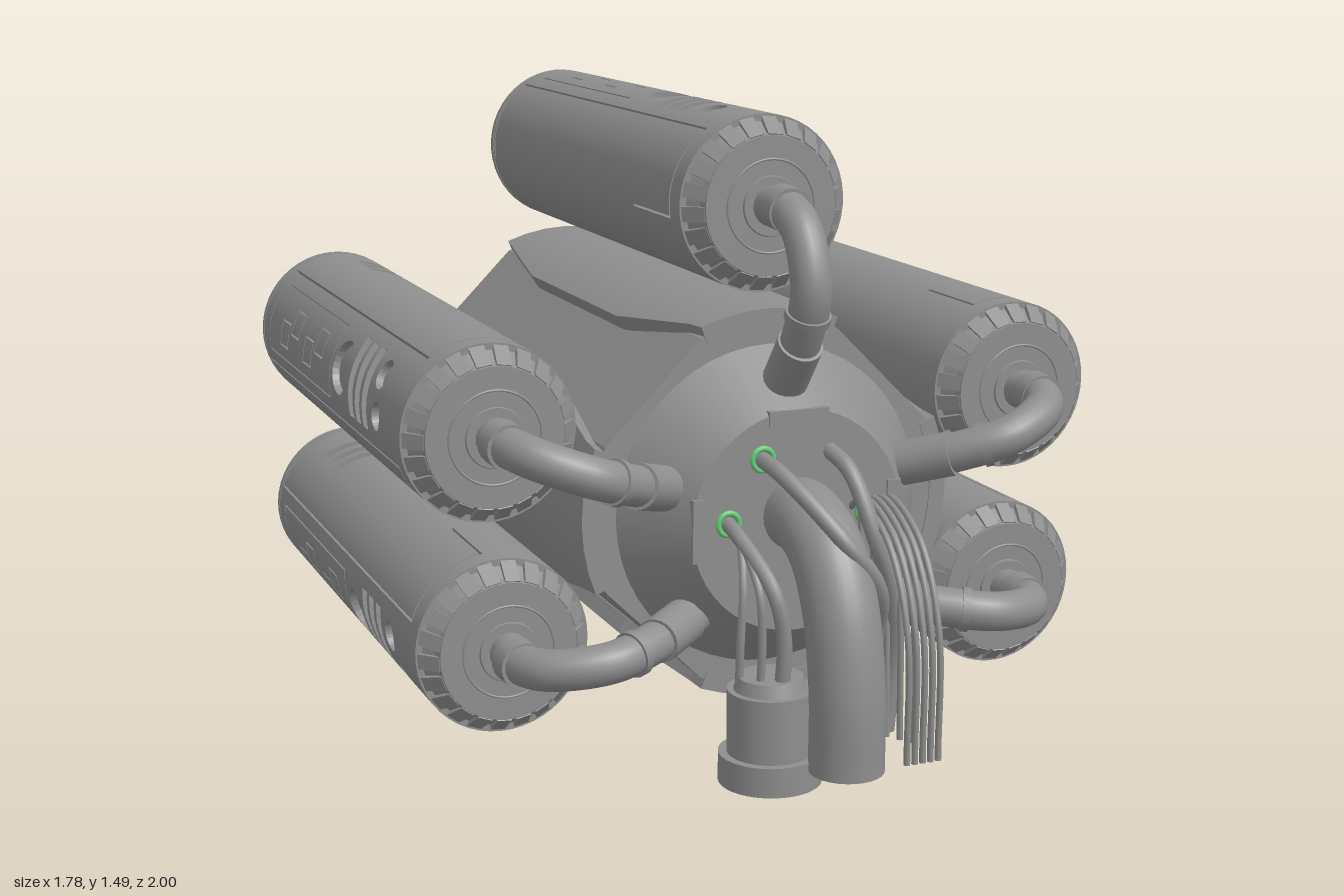
import * as THREE from 'three';

const grey = new THREE.MeshStandardMaterial({ color: 0x8e8e8e, side: THREE.DoubleSide });
const green = new THREE.MeshStandardMaterial({ color: 0x66cc77 });
const DEG = Math.PI / 180, CY = 0.565, R = 0.21;
const V = (x, y, z) => new THREE.Vector3(x, y, z);

function add(parent, name, geo, x = 0, y = 0, z = 0, mat = grey) {
  const m = new THREE.Mesh(geo, mat);
  m.name = name;
  m.position.set(x, y, z);
  parent.add(m);
  return m;
}
// cylinder or cone along z, from z0 (radius r0) to z1 (radius r1)
function zCyl(r0, r1, z0, z1) {
  return new THREE.CylinderGeometry(r1, r0, z1 - z0, 48).rotateX(Math.PI / 2).translate(0, 0, (z0 + z1) / 2);
}
function tube(pts, r, seg = 32, sides = 10) {
  return new THREE.TubeGeometry(new THREE.CatmullRomCurve3(pts), seg, r, sides);
}
const poly = (pts) => new THREE.Shape(pts.map(([x, y]) => new THREE.Vector2(x, y)));
const rect = (x0, y0, x1, y1) => poly([[x0, y0], [x1, y0], [x1, y1], [x0, y1]]);
const disc = (x, y, r) => new THREE.Shape().absarc(x, y, r, 0, Math.PI * 2);

// keep the part of a polygon on one side of x = c
function clip(p, c, sign) {
  const out = [];
  p.forEach((a, i) => {
    const b = p[(i + 1) % p.length], da = (a.x - c) * sign, db = (b.x - c) * sign;
    if (da >= 0) out.push(a);
    if (da * db < 0) out.push(a.clone().lerp(b, da / (da - db)));
  });
  return out;
}
// flat shapes (x = arc length, y = along the axis) made thick and rolled round the z axis
function roll(shapes, radius, depth) {
  const flat = new THREE.ExtrudeGeometry(shapes, { depth, bevelEnabled: false, curveSegments: 14 }).toNonIndexed();
  const P = flat.attributes.position, N = flat.attributes.normal, pos = [], nor = [];
  const step = 2 * Math.PI * radius / 48;
  for (let i = 0; i < P.count; i += 3) {
    const tri = [0, 1, 2].map(k => V(0, 0, 0).fromBufferAttribute(P, i + k));
    const n = V(0, 0, 0).fromBufferAttribute(N, i);
    const xs = tri.map(p => p.x);
    const k0 = Math.floor((Math.min(...xs) + 1e-9) / step);
    const k1 = Math.max(k0, Math.floor((Math.max(...xs) - 1e-9) / step));
    for (let k = k0; k <= k1; k++) {
      let q = tri;
      if (k > k0) q = clip(q, k * step, 1);
      if (k < k1) q = clip(q, (k + 1) * step, -1);
      for (let j = 1; j + 1 < q.length; j++) for (const p of [q[0], q[j], q[j + 1]]) {
        const a = p.x / radius, c = Math.cos(a), s = Math.sin(a), r = radius - depth + p.z;
        pos.push(r * c, r * s, p.y);
        nor.push(n.z * c - n.x * s, n.z * s + n.x * c, n.y);
      }
    }
  }
  const g = new THREE.BufferGeometry();
  g.setAttribute('position', new THREE.Float32BufferAttribute(pos, 3));
  g.setAttribute('normal', new THREE.Float32BufferAttribute(nor, 3));
  return g;
}

// pod skin with its cut-outs: portholes, slanted slots, panel, vents and bracket seams
function podSkin() {
  const half = Math.PI * R;
  const skin = rect(-half, -0.975, half, 0.43);
  skin.holes.push(disc(0, -0.135, 0.07), disc(0.05, 0.22, 0.034), disc(-0.05, 0.2, 0.038));
  for (const z of [-0.05, 0.015, 0.08])
    skin.holes.push(poly([[-0.1, z], [0.1, z + 0.02], [0.1, z + 0.062], [-0.1, z + 0.042]]));
  for (const z of [-0.825, -0.757, -0.69]) skin.holes.push(rect(-0.48, z, -0.29, z + 0.042));
  for (const s of [-1, 1])
    skin.holes.push(poly([[0.137, -0.966], [0.377, -0.966], [0.377, -0.96], [0.143, -0.96], [0.143, 0.364],
      [0.371, 0.364], [0.371, 0.13], [0.377, 0.13], [0.377, 0.37], [0.137, 0.37]].map(([x, y]) => [x * s, y])));
  skin.holes.push(rect(-0.098, -0.91, 0.098, -0.225));
  const panel = rect(-0.094, -0.906, 0.094, -0.229), plates = [];
  for (const [u, z] of [[-0.02, -0.36], [0.025, -0.47], [-0.02, -0.62], [0.025, -0.73]]) {
    panel.holes.push(rect(u - 0.036, z - 0.044, u + 0.036, z + 0.044));
    plates.push(rect(u - 0.031, z - 0.039, u + 0.031, z + 0.039));
  }
  return roll([skin, panel, ...plates], R, 0.018);
}

function makePod(skin) {
  const pod = new THREE.Group();
  add(pod, 'podSkin', skin);
  add(pod, 'podCore', zCyl(R - 0.018, R - 0.018, -0.99, 0.43));
  add(pod, 'podBackCap', zCyl(R, R, -1, -0.982));
  // chamfered, toothed front rim
  add(pod, 'podNose', zCyl(0.197, 0.162, 0.425, 0.475));
  const tooth = new THREE.BoxGeometry(0.02, 0.036, 0.062);
  for (let i = 0; i < 22; i++) {
    const a = i / 22 * Math.PI * 2;
    const t = add(pod, 'rimTooth', tooth, 0.179 * Math.cos(a), 0.179 * Math.sin(a), 0.447);
    t.rotation.set(0, 0, a);
    t.rotateY(-38 * DEG);
  }
  add(pod, 'rimRing', zCyl(0.172, 0.165, 0.46, 0.48));
  add(pod, 'hoseSocketRing', new THREE.TorusGeometry(0.11, 0.003, 6, 40), 0, 0, 0.48);
  add(pod, 'hoseSocket', zCyl(0.076, 0.07, 0.47, 0.485));
  return pod;
}

function makeHose(px, py, ex, ey) {
  const hose = new THREE.Group();
  const s = [0, 0, 0.1, 0.38, 0.65, 1], z = [0.46, 0.58, 0.655, 0.7, 0.655, 0.54];
  const curve = new THREE.CatmullRomCurve3(s.map((t, i) => V(px + (ex - px) * t, py + (ey - py) * t, z[i])));
  add(hose, 'hoseTube', new THREE.TubeGeometry(curve, 40, 0.048, 18));
  // collars along the hose
  for (const [t, len] of [[0.15, 0.06], [0.62, 0.02], [0.84, 0.13]]) {
    const c = add(hose, 'hoseCollar', new THREE.CylinderGeometry(0.054, 0.054, len, 20));
    c.position.copy(curve.getPointAt(t));
    c.quaternion.setFromUnitVectors(V(0, 1, 0), curve.getTangentAt(t));
  }
  return hose;
}

function makeCore() {
  const core = new THREE.Group();
  core.position.y = CY;
  // body with four diagonal flats
  const section = new THREE.Shape();
  for (let k = 0; k < 4; k++) section.absarc(0, 0, 0.45, (k * 90 - 23) * DEG, (k * 90 + 23) * DEG);
  add(core, 'coreBody', new THREE.ExtrudeGeometry(section, { depth: 1.432, bevelEnabled: false }), 0, 0, -0.955);
  // curved armour plates, wider in the middle
  const plate = roll([poly([[-0.18, -0.96], [0.18, -0.96], [0.255, -0.55], [0.255, 0.1], [0.185, 0.42], [0.18, 0.48],
    [-0.18, 0.48], [-0.185, 0.42], [-0.255, 0.1], [-0.255, -0.55]])], 0.475, 0.042);
  for (let k = 0; k < 4; k++) add(core, 'corePlate', plate).rotation.z = k * 90 * DEG;
  add(core, 'frontCone', zCyl(0.395, 0.265, 0.47, 0.64));
  for (const a of [0, 90, 180]) {
    const tab = add(core, 'faceTab', new THREE.BoxGeometry(0.035, 0.15, 0.05), 0.248 * Math.cos(a * DEG), 0.248 * Math.sin(a * DEG), 0.622);
    tab.rotation.z = a * DEG;
  }
  return core;
}

// bent spout, drum and hanging cables on the front face
function makeFrontGear() {
  const g = new THREE.Group();
  const spout = [V(0, 0.58, 0.6), V(0, 0.58, 0.7), V(0, 0.53, 0.8), V(0, 0.42, 0.87), V(0, 0.24, 0.91), V(0, 0.05, 0.912)];
  add(g, 'spout', tube(spout, 0.087, 40, 28));
  add(g, 'spoutEnd', new THREE.CylinderGeometry(0.087, 0.087, 0.02, 28), 0, 0.06, 0.912);
  add(g, 'drumBase', new THREE.CylinderGeometry(0.12, 0.12, 0.07, 36), -0.13, 0.035, 0.78);
  add(g, 'drum', new THREE.CylinderGeometry(0.1, 0.1, 0.15, 36), -0.13, 0.145, 0.78);
  add(g, 'drumTop', new THREE.CylinderGeometry(0.075, 0.085, 0.03, 36), -0.13, 0.235, 0.78);
  for (const [x, z, r] of [[-0.2, 0.76, 0.01], [-0.165, 0.8, 0.01], [-0.12, 0.82, 0.018]])
    add(g, 'drumCable', tube([V(-0.175, 0.575, 0.63), V(-0.175, 0.56, 0.7),
      V(x * 0.6 - 0.07, 0.46, z), V(x, 0.35, z + 0.01), V(x, 0.22, z)], r, 24, 8));
  add(g, 'thickCable', tube([V(-0.09, 0.72, 0.62), V(-0.08, 0.7, 0.74), V(0, 0.58, 0.88), V(0.09, 0.46, 0.88),
    V(0.125, 0.3, 0.8), V(0.12, 0.05, 0.78)], 0.02));
  add(g, 'thickCable', tube([V(0.08, 0.73, 0.62), V(0.1, 0.69, 0.71), V(0.13, 0.55, 0.78), V(0.19, 0.38, 0.76),
    V(0.21, 0.22, 0.73), V(0.2, 0.05, 0.72)], 0.02));
  for (let i = 0; i < 5; i++) for (const z of [0.7 + i * 0.03, 0.94]) {
    const x = 0.14 + i * 0.02;
    add(g, 'thinCable', tube([V(x, 0.57, 0.62), V(x, 0.61, 0.68), V(x, 0.54, 0.68 + (z - 0.68) * 0.6),
      V(x, 0.36, z - 0.01), V(x, 0.05, z)], 0.008, 28, 7));
  }
  for (const [x, y] of [[-0.09, 0.72], [-0.175, 0.575], [0.18, 0.57]])
    add(g, 'cableSocket', new THREE.TorusGeometry(0.026, 0.007, 8, 24), x, y, 0.642, green);
  return g;
}

export function createModel() {
  const model = new THREE.Group();
  const put = (name, part) => { part.name = name; model.add(part); return part; };
  put('core', makeCore());
  put('frontGear', makeFrontGear());
  const skin = podSkin();
  // placement angle, roll of the pod, angle and radius where its hose meets the cone
  for (const [a, turn, e, r] of [[90, 86, 90, 0.29], [18.3, 8, 16, 0.29], [161.7, 163, 164, 0.29],
    [-23.5, -28, -46, 0.32], [203.5, 200, 226, 0.32]]) {
    const x = 0.715 * Math.cos(a * DEG), y = CY + 0.715 * Math.sin(a * DEG);
    const pod = put('pod', makePod(skin));
    pod.position.set(x, y, 0);
    pod.rotation.z = turn * DEG;
    put('hose', makeHose(x, y, r * Math.cos(e * DEG), CY + r * Math.sin(e * DEG)));
  }
  return model;
}
